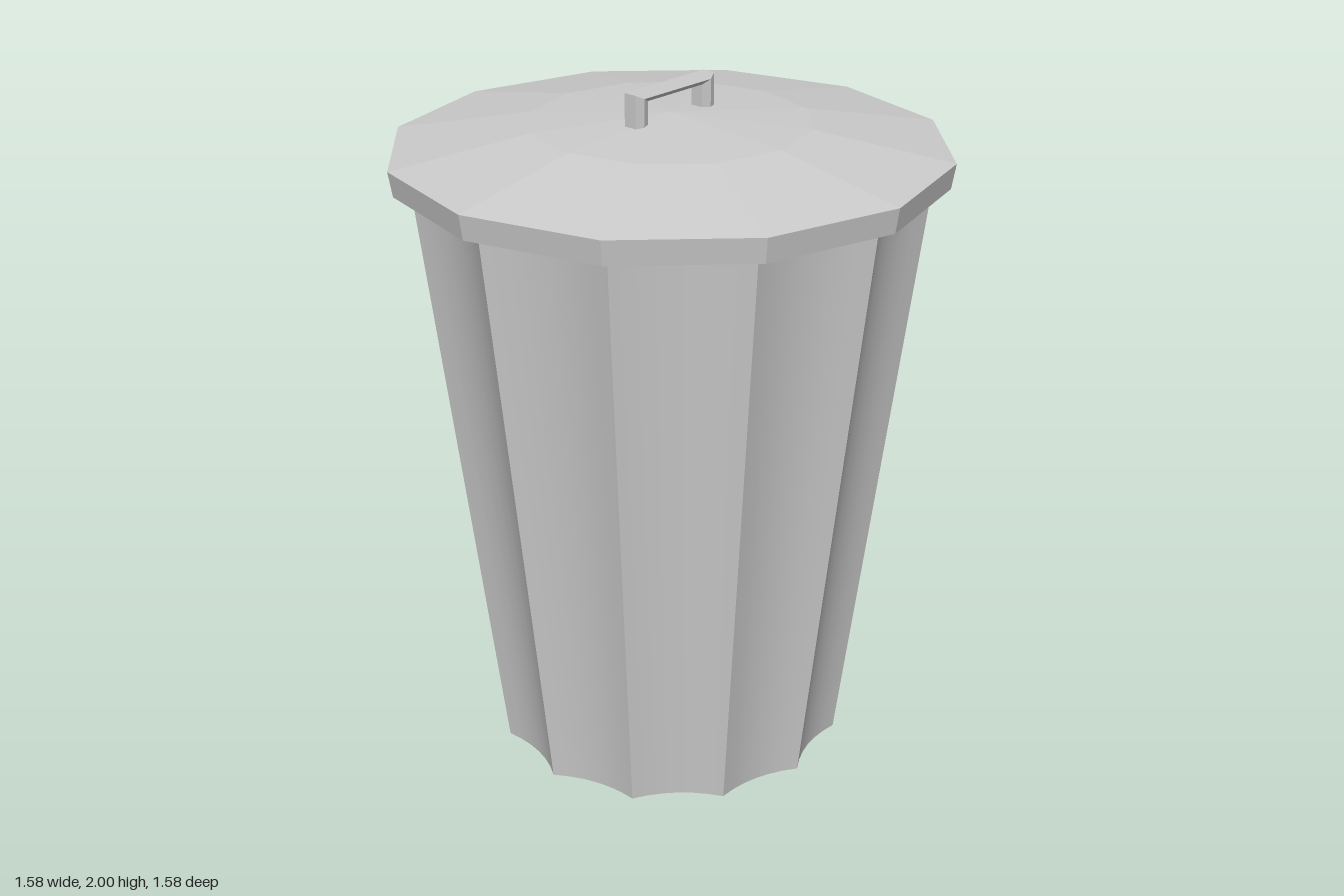
import * as THREE from 'three';
import { toCreasedNormals } from 'three/addons/utils/BufferGeometryUtils.js';

const SIDES = 12;
const STEP = (Math.PI * 2) / SIDES;

// Tapered bin whose twelve panels bow slightly inwards
function bodyGeometry(bottomR, topR, height) {
  const shape = new THREE.Shape();
  const control = 0.87; // control radius of each concave panel
  shape.moveTo(1, 0);
  for (let i = 0; i < SIDES; i++) {
    const mid = (i + 0.5) * STEP, end = (i + 1) * STEP;
    shape.quadraticCurveTo(
      control * Math.cos(mid), control * Math.sin(mid), Math.cos(end), Math.sin(end));
  }
  const geo = new THREE.ExtrudeGeometry(shape, { depth: height, bevelEnabled: false, curveSegments: 6 });
  geo.rotateX(-Math.PI / 2);
  const p = geo.attributes.position;
  for (let i = 0; i < p.count; i++) {
    const r = THREE.MathUtils.lerp(bottomR, topR, p.getY(i) / height);
    p.setXYZ(i, p.getX(i) * r, p.getY(i), p.getZ(i) * r);
  }
  return toCreasedNormals(geo, 0.45);
}

// Bracket handle: a six-sided section swept up, across and down
function handleGeometry() {
  const stations = [ // outer z, outer y, inner z, inner y
    [0.16, 1.89, 0.11, 1.89], [0.16, 2, 0.11, 1.975],
    [-0.16, 2, -0.11, 1.975], [-0.16, 1.89, -0.11, 1.89],
  ];
  const section = [[-0.02, 0], [0.02, 0], [0.03, 0.5], [0.02, 1], [-0.02, 1], [-0.03, 0.5]];
  const n = section.length, pos = [], idx = [];
  for (const [oz, oy, iz, iy] of stations)
    for (const [x, t] of section)
      pos.push(x, THREE.MathUtils.lerp(oy, iy, t), THREE.MathUtils.lerp(oz, iz, t));
  for (let s = 0; s < stations.length - 1; s++)
    for (let j = 0; j < n; j++) {
      const a = s * n + j, b = s * n + (j + 1) % n;
      idx.push(a, b, b + n, a, b + n, a + n);
    }
  const geo = new THREE.BufferGeometry();
  geo.setAttribute('position', new THREE.Float32BufferAttribute(pos, 3));
  geo.setIndex(idx);
  const flat = geo.toNonIndexed();
  flat.computeVertexNormals();
  return flat;
}

export function createModel() {
  const group = new THREE.Group();
  const smooth = new THREE.MeshStandardMaterial({ color: 0xcccccc });
  const faceted = new THREE.MeshStandardMaterial({ color: 0xcccccc, flatShading: true });
  const add = (name, geo, mat) => {
    const mesh = new THREE.Mesh(geo, mat);
    mesh.name = name;
    group.add(mesh);
  };

  add('body', bodyGeometry(0.512, 0.73, 1.755), smooth);

  // Lid: flat underside, short rim, shallow two-step dome
  const profile = [[0, 1.75], [0.78, 1.75], [0.792, 1.822], [0.4, 1.892], [0, 1.917]]
    .map(([r, y]) => new THREE.Vector2(r, y));
  add('lid', new THREE.LatheGeometry(profile, SIDES), faceted);

  add('handle', handleGeometry(), faceted);
  return group;
}
